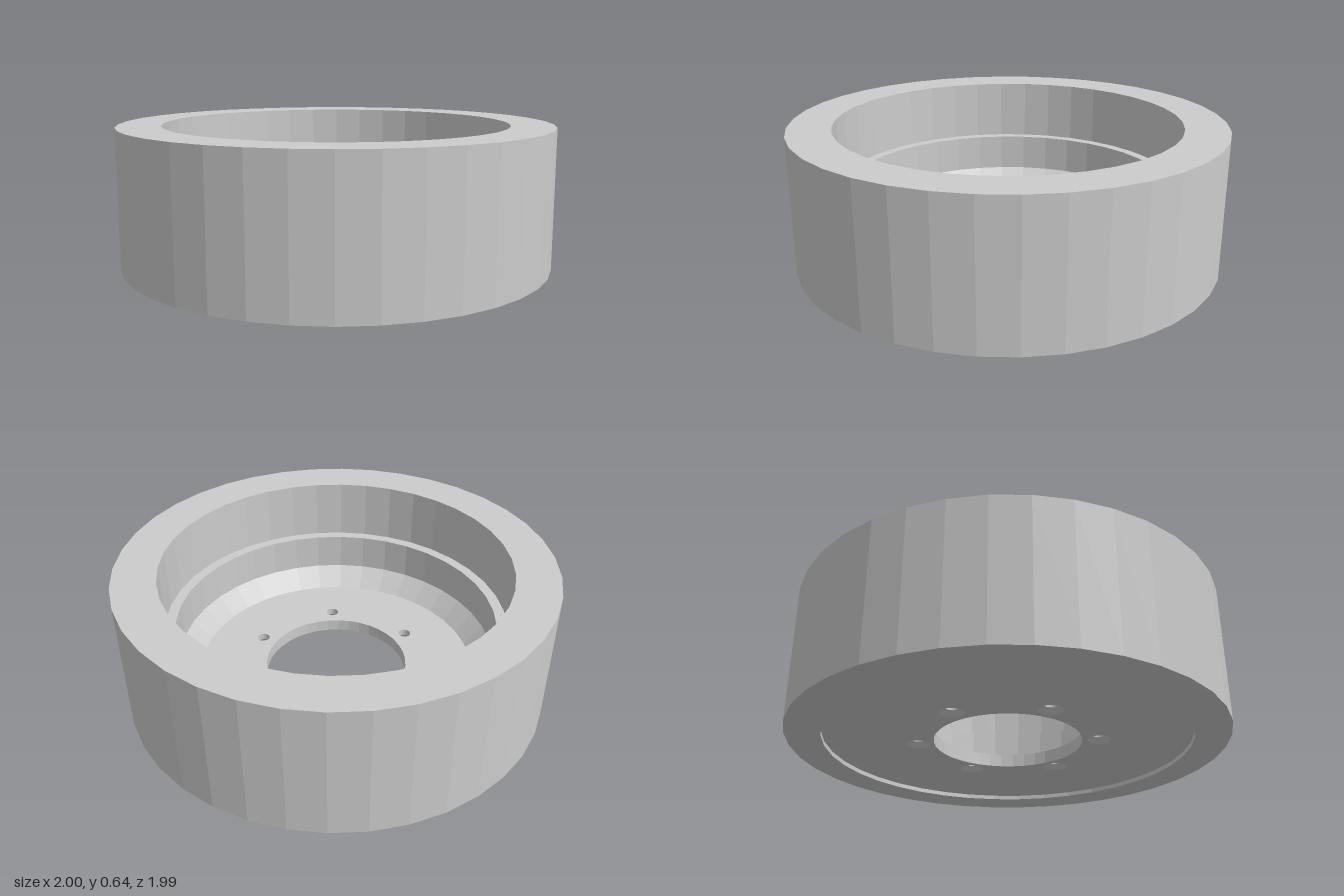
import * as THREE from 'three';

const SIDES = 38;
const material = new THREE.MeshStandardMaterial({ color: 0xcccccc, flatShading: true });

// Bolt hole centres, evenly spaced on a circle
const bolts = Array.from({ length: 6 }, (_, i) => {
  const a = Math.PI / 6 + (i * Math.PI) / 3;
  return [0.417 * Math.cos(a), 0.417 * Math.sin(a)];
});

function mesh(name, geometry) {
  const m = new THREE.Mesh(geometry, material);
  m.name = name;
  return m;
}

// Turned surface from [radius, height] pairs
function turned(name, profile, sides = SIDES) {
  const points = profile.map(([r, y]) => new THREE.Vector2(r, y));
  return mesh(name, new THREE.LatheGeometry(points, sides, Math.PI / 2));
}

function ring(cx, cy, r, sides) {
  return Array.from({ length: sides }, (_, i) => {
    const a = (i / sides) * Math.PI * 2;
    return new THREE.Vector2(cx + r * Math.cos(a), cy + r * Math.sin(a));
  });
}

// Flat disc pierced by the bore and the bolt holes
function piercedDisc(name, radius, holeRadius, y, facing) {
  const shape = new THREE.Shape(ring(0, 0, radius, SIDES));
  shape.holes.push(new THREE.Path(ring(0, 0, 0.34, SIDES)));
  for (const [x, z] of bolts) shape.holes.push(new THREE.Path(ring(x, z, holeRadius, 24)));
  const geometry = new THREE.ShapeGeometry(shape);
  geometry.rotateX((-facing * Math.PI) / 2);
  geometry.translate(0, y, 0);
  return mesh(name, geometry);
}

export function createModel() {
  const model = new THREE.Group();
  model.name = 'wheel';

  // Solid tread band
  model.add(turned('tire', [[0.84, 0], [1, 0], [1, 0.64], [0.84, 0.64], [0.84, 0]]));

  // Stepped cup with a sloping shoulder down to the floor
  const hub = new THREE.Group();
  hub.name = 'hub';
  hub.add(
    turned('cupWall', [
      [0.84, 0.02], [0.84, 0.64], [0.8, 0.64], [0.8, 0.35],
      [0.75, 0.35], [0.75, 0.17], [0.66, 0.08],
    ]),
    piercedDisc('floor', 0.66, 0.03, 0.08, 1),
    piercedDisc('underside', 0.84, 0.055, 0.02, -1),
    turned('bore', [[0.34, 0.08], [0.34, 0.02]])
  );

  // Bolt holes, countersunk from below
  for (const [x, z] of bolts) {
    const hole = turned('boltHole', [[0.03, 0.08], [0.03, 0.045], [0.055, 0.02]], 24);
    hole.position.set(x, 0, z);
    hub.add(hole);
  }
  model.add(hub);
  return model;
}
